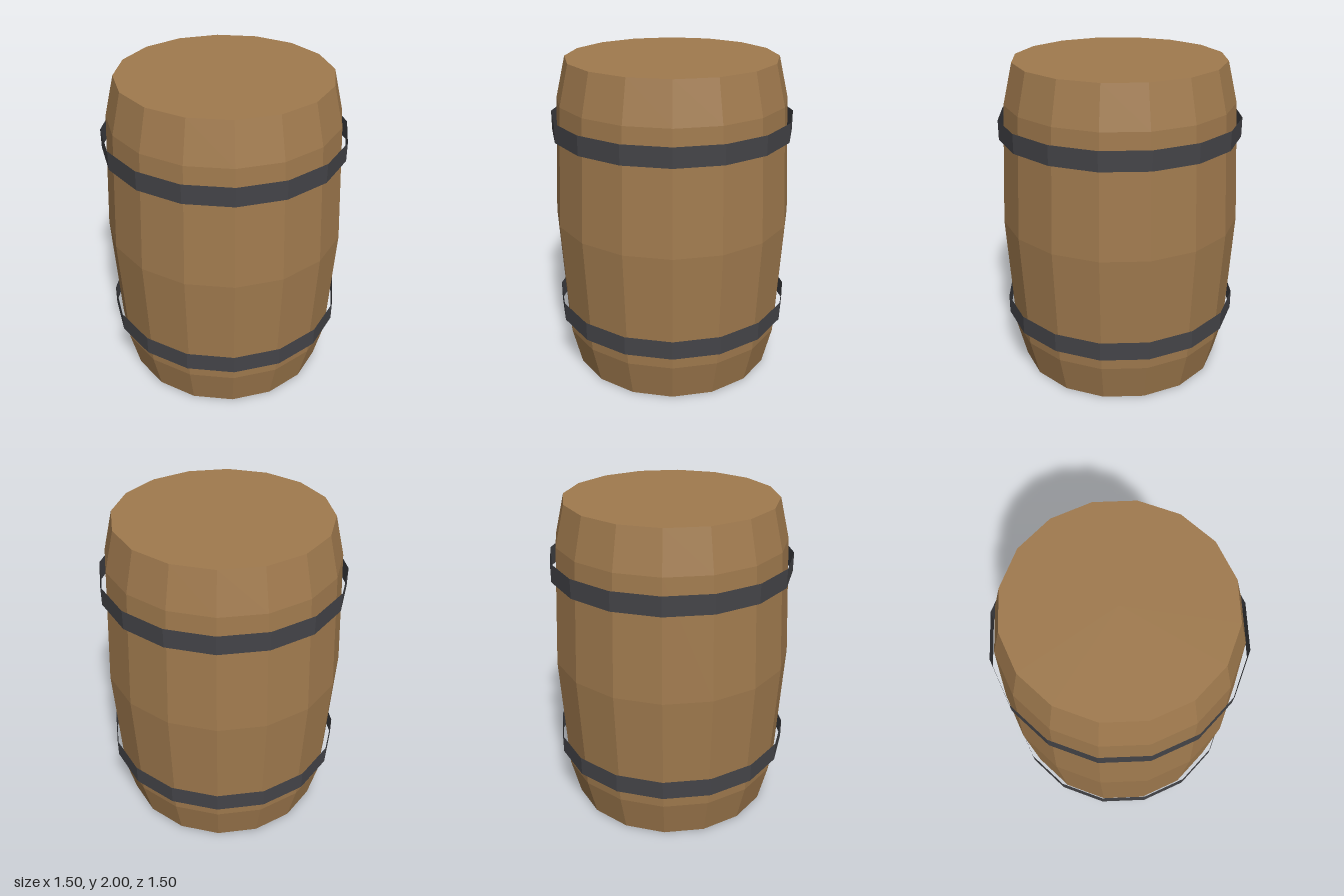
import * as THREE from 'three';

const SIDES = 16;

export function createModel() {
  const barrel = new THREE.Group();
  barrel.name = 'barrel';

  const wood = new THREE.MeshStandardMaterial({ color: 0xa07a4e, flatShading: true });
  const iron = new THREE.MeshStandardMaterial({ color: 0x444448, flatShading: true, side: THREE.DoubleSide });

  // Bulging body with closed ends: [radius, height], bottom to top
  const profile = [[0, 0], [0.65, 0], [0.71, 0.25], [0.75, 1], [0.71, 1.75], [0.65, 2], [0, 2]]
    .map(([r, y]) => new THREE.Vector2(r, y));
  const body = new THREE.Mesh(new THREE.LatheGeometry(profile, SIDES), wood);
  body.name = 'body';
  barrel.add(body);

  // Two thin metal bands standing slightly off the body
  const hoopGeometry = new THREE.CylinderGeometry(0.75, 0.75, 0.12, SIDES, 1, true);
  for (const [name, y] of [['lowerHoop', 0.4], ['upperHoop', 1.6]]) {
    const hoop = new THREE.Mesh(hoopGeometry, iron);
    hoop.name = name;
    hoop.position.y = y;
    barrel.add(hoop);
  }

  return barrel;
}
